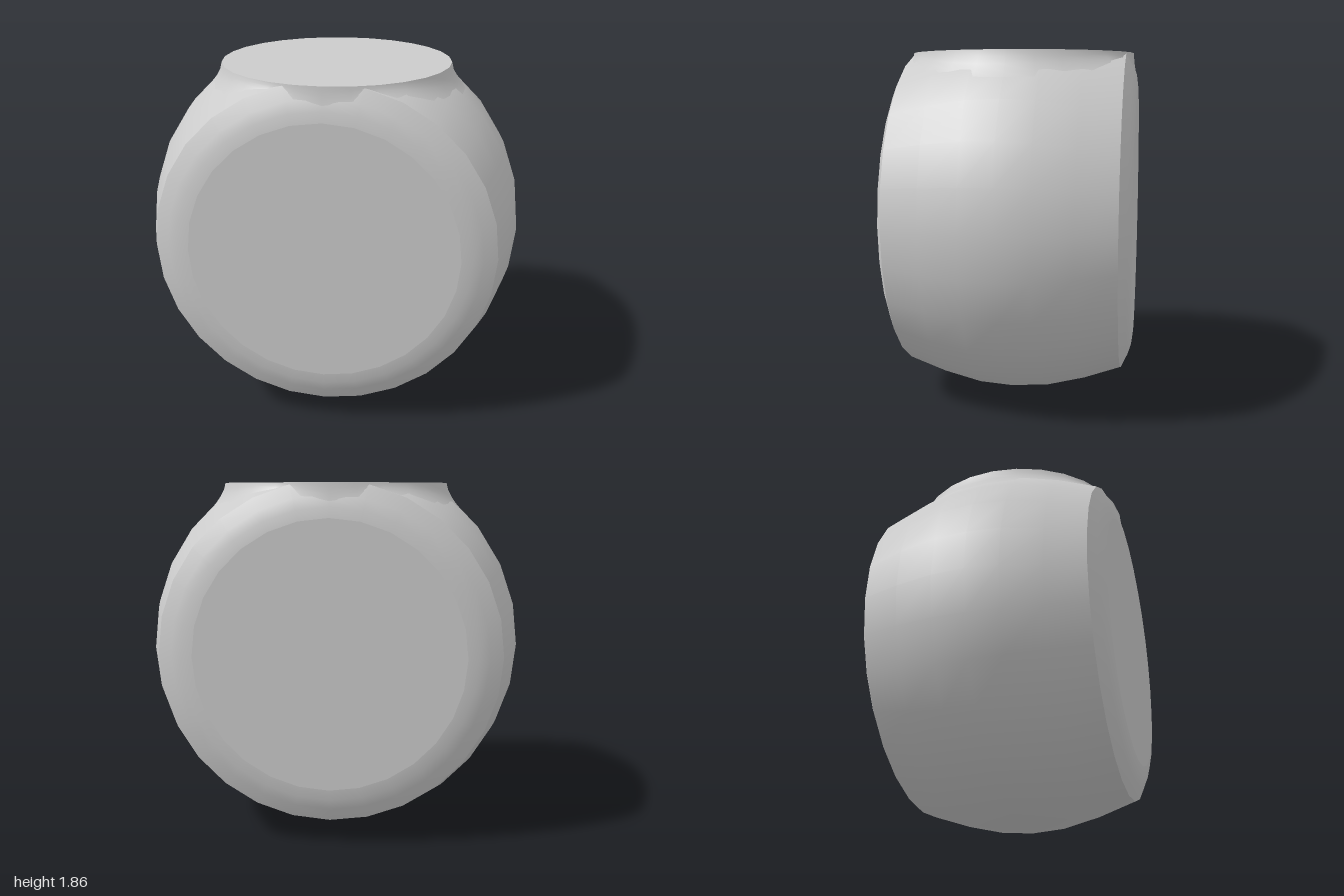
import * as THREE from 'three';

const SIDES = 28, CENTRE_Y = 1, TOP_Y = 1.86, TOP_R = 0.605;
// Half profile of the drum: [radius, distance from the middle]
const BODY = [[1, 0], [0.988, 0.17], [0.94, 0.37], [0.872, 0.57]];
const RIM = [[0.872, 0.57], [0.8, 0.605], [0.745, 0.623], [0.69, 0.63]];

export function createModel() {
  const group = new THREE.Group();
  const material = new THREE.MeshStandardMaterial({ color: 0xcccccc });
  const add = (name, geometry) => {
    const mesh = new THREE.Mesh(geometry, material);
    mesh.name = name;
    group.add(mesh);
    return mesh;
  };

  // Turned ring around the z axis, flattened just below the top face
  const turned = (profile) => {
    const g = new THREE.LatheGeometry(profile.map(([r, h]) => new THREE.Vector2(r, h)), SIDES);
    g.rotateX(-Math.PI / 2).translate(0, CENTRE_Y, 0);
    const p = g.attributes.position;
    for (let i = 0; i < p.count; i++) p.setY(i, Math.min(p.getY(i), TOP_Y - 0.01));
    return g;
  };

  // Bulging drum
  const mirrored = BODY.slice(1).reverse().map(([r, h]) => [r, -h]);
  add('drumBody', turned([...mirrored, ...BODY]));

  // Rounded rims and flat discs, front and back
  for (const [side, turn] of [['front', 0], ['back', Math.PI]]) {
    // The profile grows towards -z after the turn, so the front rim is reversed
    const profile = turn ? RIM : RIM.map(([r, h]) => [r, -h]).reverse();
    add(side + 'Rim', turned(profile));
    const disc = new THREE.CircleGeometry(0.69, SIDES);
    disc.rotateZ(Math.PI / 2).rotateY(turn);
    disc.translate(0, CENTRE_Y, turn ? -0.63 : 0.63);
    add(side + 'Disc', disc);
  }

  // Height of the drum surface above a point
  const line = [...BODY, ...RIM.slice(1)];
  const surfaceY = (x, z) => {
    const d = Math.min(Math.abs(z), 0.6299);
    const i = line.findIndex(([, h]) => h > d);
    const [r0, h0] = line[i - 1], [r1, h1] = line[i];
    const r = r0 + (r1 - r0) * (d - h0) / (h1 - h0);
    return CENTRE_Y + Math.sqrt(r * r - x * x);
  };

  // Collar flaring from the top face onto the drum
  const rows = 5, seg = 28, pos = [], index = [];
  for (let j = 0; j <= rows; j++) {
    const t = j / rows;
    for (let i = 0; i < seg; i++) {
      const a = (i / seg) * Math.PI * 2, c = Math.cos(a), s = Math.sin(a);
      const flare = 0.02 + 0.1 * c * c;
      const foot = surfaceY((TOP_R + flare) * c, (TOP_R + flare) * s) - 0.01;
      const r = TOP_R + flare * Math.pow(t, 1.6);
      pos.push(r * c, TOP_Y + (foot - TOP_Y) * t, r * s);
      if (j < rows) {
        const n = (i + 1) % seg, p = j * seg, q = p + seg;
        index.push(p + i, p + n, q + i, p + n, q + n, q + i);
      }
    }
  }
  const collar = new THREE.BufferGeometry();
  collar.setAttribute('position', new THREE.Float32BufferAttribute(pos, 3));
  collar.setIndex(index);
  collar.computeVertexNormals();
  add('collar', collar);

  // Flat top face
  add('topFace', new THREE.CircleGeometry(TOP_R, seg).rotateX(-Math.PI / 2).translate(0, TOP_Y, 0));

  return group;
}
